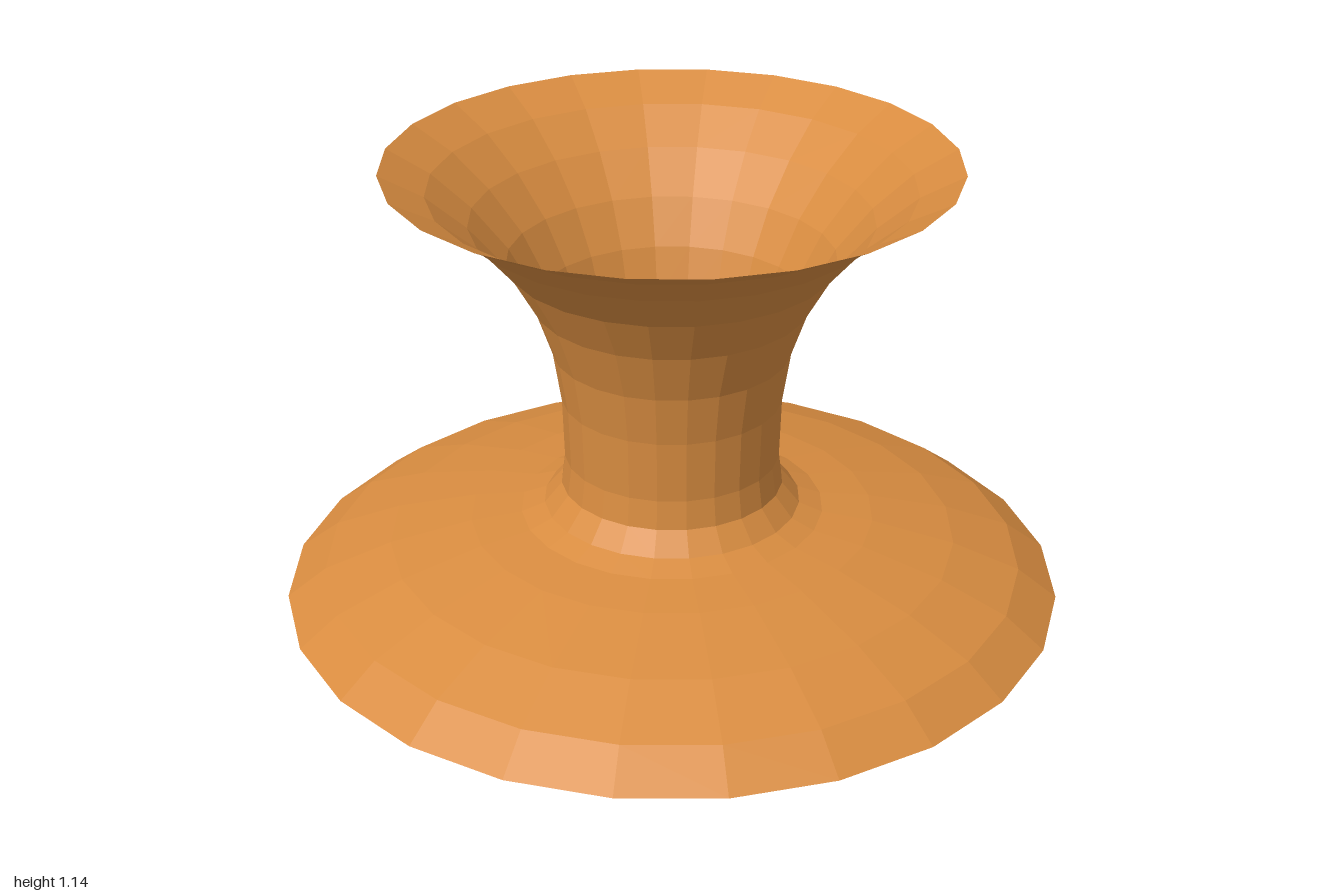
import * as THREE from 'three';

export function createModel() {
  const group = new THREE.Group();
  group.name = 'flaredStand';

  const material = new THREE.MeshStandardMaterial({
    color: 0xd88c40,
    flatShading: true,
    side: THREE.DoubleSide,
  });

  // Each part is a thin, open 24-sided shell turned from [radius, height] points
  const addShell = (name, profile) => {
    const points = profile.map(([r, y]) => new THREE.Vector2(r, y));
    const mesh = new THREE.Mesh(new THREE.LatheGeometry(points, 24), material);
    mesh.name = name;
    group.add(mesh);
  };

  // Shallow domed foot, hollow underneath
  addShell('base', [
    [1, 0], [0.9, 0.075], [0.73, 0.14], [0.52, 0.19], [0.39, 0.207],
  ]);

  // Narrow neck with a rounded fillet onto the foot
  addShell('stem', [
    [0.39, 0.207], [0.33, 0.23], [0.285, 0.285], [0.275, 0.36],
    [0.28, 0.52], [0.3, 0.65],
  ]);

  // Trumpet-shaped open mouth
  addShell('flare', [
    [0.3, 0.65], [0.345, 0.78], [0.41, 0.895], [0.5, 1.0],
    [0.6, 1.085], [0.71, 1.145],
  ]);

  return group;
}
